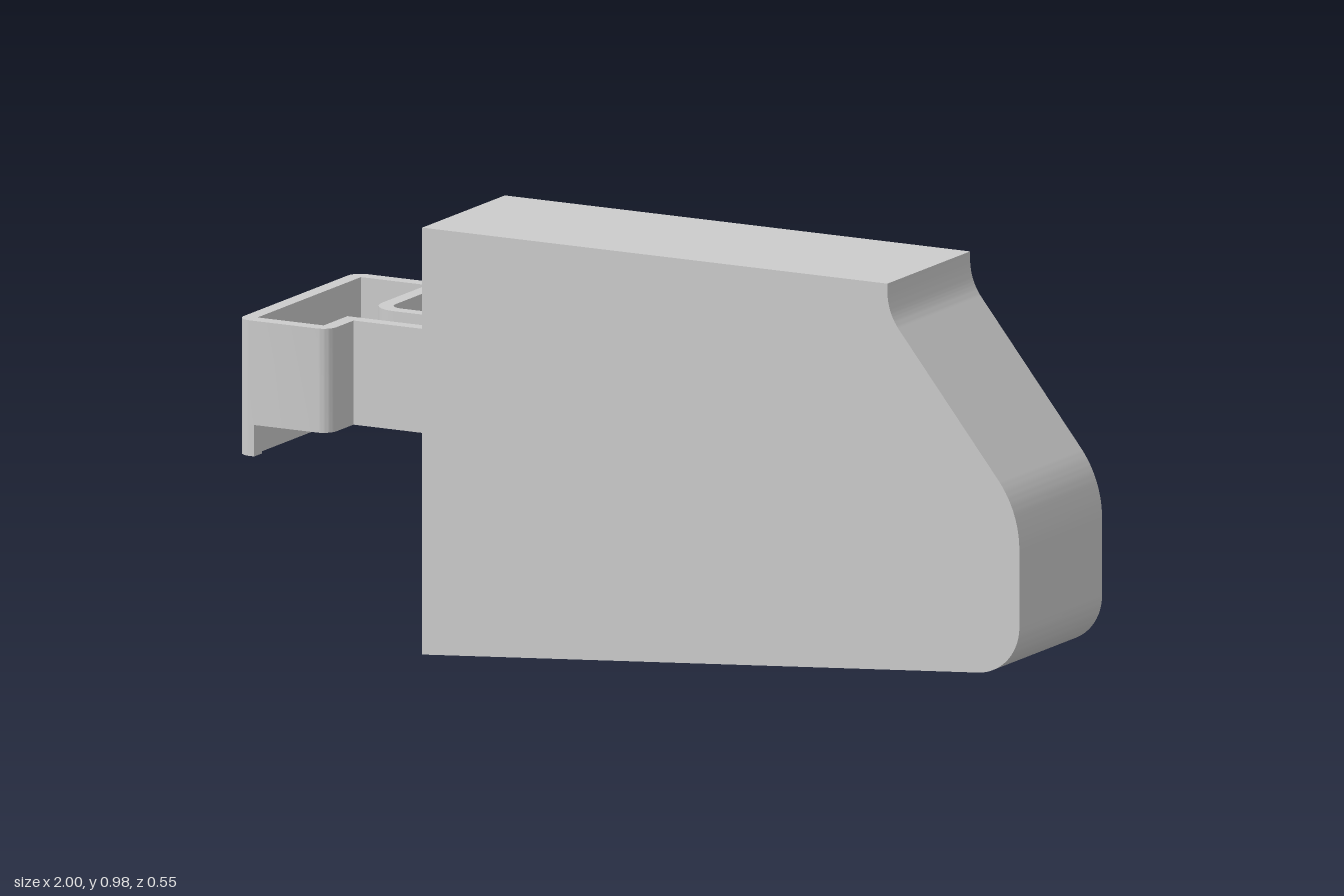
import * as THREE from 'three';
import { toCreasedNormals } from 'three/addons/utils/BufferGeometryUtils.js';

const material = new THREE.MeshStandardMaterial({ color: 0xcccccc });

// Polygon points from [x, y, radius] corners, each radius becoming a tangent arc
function rounded(corners, steps = 16) {
  const out = [];
  corners.forEach(([x, y, r], i) => {
    const p = new THREE.Vector2(x, y);
    if (!r) { out.push(p); return; }
    const n = corners.length;
    const a = new THREE.Vector2(...corners[(i + n - 1) % n].slice(0, 2)).sub(p).normalize();
    const b = new THREE.Vector2(...corners[(i + 1) % n].slice(0, 2)).sub(p).normalize();
    const half = Math.acos(a.dot(b)) / 2;
    const centre = a.clone().add(b).normalize().multiplyScalar(r / Math.sin(half)).add(p);
    const start = a.multiplyScalar(r / Math.tan(half)).add(p).sub(centre);
    const end = b.multiplyScalar(r / Math.tan(half)).add(p).sub(centre);
    const sweep = Math.atan2(start.cross(end), start.dot(end));
    for (let k = 0; k <= steps; k++) {
      out.push(start.clone().rotateAround(new THREE.Vector2(), sweep * k / steps).add(centre));
    }
  });
  return out;
}

function extrude(name, shape, depth) {
  const geometry = new THREE.ExtrudeGeometry(shape, { depth, bevelEnabled: false });
  const mesh = new THREE.Mesh(toCreasedNormals(geometry, 0.35), material);
  mesh.name = name;
  return mesh;
}

// Plan outlines are given as [x, z, radius] and extruded upwards
const plan = (corners) => rounded(corners.map(([x, z, r]) => [x, -z, r]), 10);
function upright(name, shape, y0, y1) {
  const mesh = extrude(name, shape, y1 - y0);
  mesh.geometry.rotateX(-Math.PI / 2);
  mesh.position.y = y0;
  return mesh;
}

export function createModel() {
  const model = new THREE.Group();
  model.name = 'housingWithClip';

  // Main slab with sloping base and sloped, rounded nose
  const body = extrude('body', new THREE.Shape(rounded([
    [-0.525, 0], [1, 0.12, 0.115], [1, 0.49, 0.25], [0.663, 0.911, 0.136],
    [0.663, 0.976], [-0.525, 0.976],
  ], 24)), 0.38);
  body.position.z = -0.107;
  model.add(body);

  // Thin-walled clip: an open box joined to a narrow neck
  const clip = new THREE.Group();
  clip.name = 'clip';
  const ring = new THREE.Shape(plan([
    [-1, -0.273, 0.033], [-0.763, -0.273, 0.033], [-0.763, 0, 0.033], [-0.525, 0],
    [-0.525, 0.16], [-0.763, 0.16], [-0.763, 0.271, 0.033], [-1, 0.271, 0.033],
  ]));
  // The hole runs opposite to the outline so its walls face inwards
  ring.holes.push(new THREE.Path(plan([
    [-0.966, -0.239], [-0.797, -0.239], [-0.797, 0.032, 0.065], [-0.56, 0.032],
    [-0.56, 0.127], [-0.797, 0.127], [-0.797, 0.236], [-0.966, 0.236],
  ]).reverse()));
  clip.add(upright('clipWall', ring, 0.478, 0.716));

  // Lip hanging below the outer wall, with short returns at both ends
  const lip = new THREE.Shape(plan([
    [-1, -0.273, 0.033], [-0.955, -0.273], [-0.955, -0.239], [-0.966, -0.239],
    [-0.966, 0.236], [-0.955, 0.236], [-0.955, 0.271], [-1, 0.271, 0.033],
  ]));
  clip.add(upright('clipLip', lip, 0.406, 0.478));
  model.add(clip);

  return model;
}
